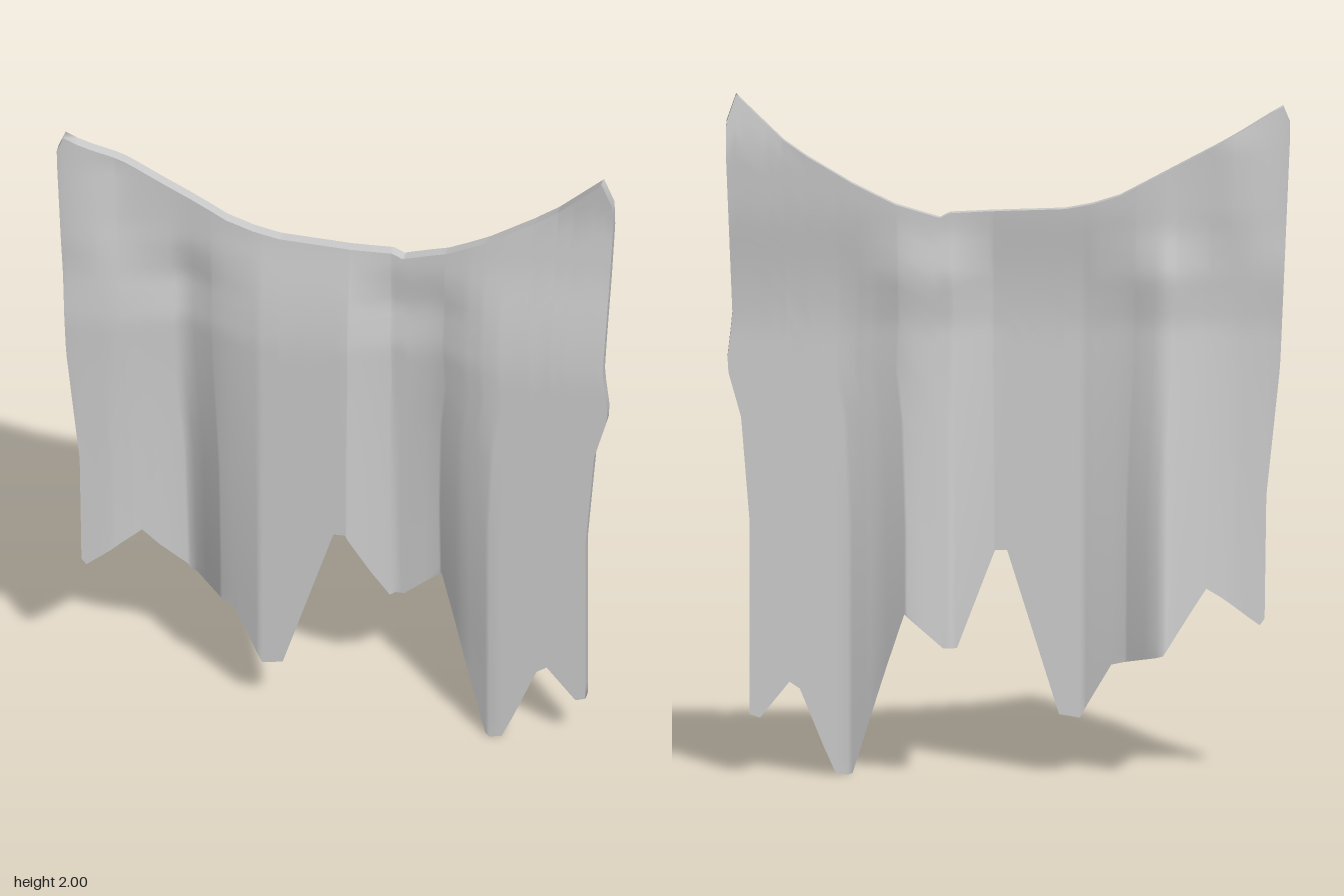
import * as THREE from 'three';

// Piecewise-linear lookup through [key, value] pairs
function lookup(pts, k) {
  if (k <= pts[0][0]) return pts[0][1];
  for (let i = 1; i < pts.length; i++) {
    const [a, va] = pts[i - 1], [b, vb] = pts[i];
    if (k <= b) return va + (vb - va) * (k - a) / (b - a);
  }
  return pts[pts.length - 1][1];
}

const HALF = 0.745, TOP_SCALE = 1.095, THICK = 0.033, ROWS = 40;

// Ragged lower hem and sagging upper edge, as x, y
const hem = [[-0.745, 0.46], [-0.73, 0.44], [-0.62, 0.525], [-0.575, 0.555], [-0.45, 0.37],
  [-0.3, 0.33], [-0.21, 0.17], [-0.15, 0.18], [0, 0.66], [0.035, 0.66], [0.145, 0.39],
  [0.185, 0.39], [0.3, 0.49], [0.45, 0], [0.5, 0.01], [0.6, 0.255], [0.63, 0.275],
  [0.715, 0.17], [0.745, 0.18]];
const upper = [[-0.816, 1.91], [-0.8, 1.96], [-0.6, 1.85], [-0.33, 1.705], [-0.25, 1.68],
  [-0.17, 1.665], [0, 1.66], [0.165, 1.655], [0.195, 1.64], [0.33, 1.68], [0.45, 1.74],
  [0.58, 1.82], [0.65, 1.87], [0.79, 2], [0.816, 1.92]];

// Half width of each side by height
const leftSide = [[0.46, 0.745], [0.82, 0.75], [1.2, 0.79], [1.9, 0.82], [1.96, 0.815]];
const rightSide = [[0.74, 0.745], [1.05, 0.77], [1.2, 0.812], [1.35, 0.795], [1.85, 0.815], [2, 0.81]];

// Depth of fold crests and valleys by height, and how far each x lies in a valley
const crest = [[0, 0.088], [1.32, 0.088], [1.42, 0.08], [1.5, 0.07], [1.65, 0.046], [1.85, 0.03], [2, 0.045]];
const valley = [[0.3, -0.06], [0.4, -0.054], [1.2, 0.012], [1.33, 0.022], [1.47, 0.01], [1.6, 0.032], [2, 0.035]];
const fold = [[-0.76, 0], [-0.66, 0.12], [-0.6, 0.3], [-0.53, 0.6], [-0.46, 1], [-0.43, 0.95],
  [-0.34, 0.36], [-0.22, 0], [0.04, 0], [0.1, 0.4], [0.16, 0.84], [0.29, 0.84], [0.37, 0.35], [0.46, 0]];

function frontDepth(x, y) {
  const c = lookup(crest, y);
  let z = c + (lookup(valley, y) - c) * lookup(fold, x);
  // upper corner on one side curls forward
  const curl = THREE.MathUtils.smoothstep(-x, 0.62, 0.8) * THREE.MathUtils.smoothstep(y, 1.35, 1.6);
  return z + (0.08 - z) * curl;
}

// Columns pass through every corner of both edges
function columnKeys() {
  const keys = [...hem.map(p => p[0]), ...upper.map(p => p[0] / TOP_SCALE), ...fold.map(p => p[0])];
  for (let i = 0; i <= 30; i++) keys.push(-HALF + 2 * HALF * i / 30);
  return keys.filter(k => Math.abs(k) <= HALF + 1e-6).sort((a, b) => a - b)
    .filter((k, i, all) => i === 0 || k - all[i - 1] > 0.004);
}

function clothPoint(xb, v) {
  const y0 = lookup(hem, xb), y1 = lookup(upper, xb * TOP_SCALE);
  const y = y0 + (y1 - y0) * v;
  const x = xb * lookup(xb < 0 ? leftSide : rightSide, y) / HALF;
  return [x, y, frontDepth(x, y)];
}

function makeGeometry(positions, index) {
  const g = new THREE.BufferGeometry();
  g.setAttribute('position', new THREE.Float32BufferAttribute(positions, 3));
  g.setIndex(index);
  g.computeVertexNormals();
  return g;
}

export function createModel() {
  const group = new THREE.Group();
  group.name = 'tatteredCloth';
  const material = new THREE.MeshStandardMaterial({ color: 0xcccccc, side: THREE.DoubleSide });
  const cols = columnKeys(), n = cols.length, stride = ROWS + 1;
  const grid = cols.flatMap(xb => Array.from({ length: stride }, (_, j) => clothPoint(xb, j / ROWS)));
  const add = (name, positions, index) => {
    const mesh = new THREE.Mesh(makeGeometry(positions, index), material);
    mesh.name = name;
    group.add(mesh);
  };

  // Front and back faces
  const frontIndex = [], backIndex = [];
  for (let i = 0; i < n - 1; i++) {
    for (let j = 0; j < ROWS; j++) {
      const a = i * stride + j, b = a + stride;
      frontIndex.push(a, b, b + 1, a, b + 1, a + 1);
      backIndex.push(a, b + 1, b, a, a + 1, b + 1);
    }
  }
  add('clothFront', grid.flat(), frontIndex);
  add('clothBack', grid.flatMap(([x, y, z]) => [x, y, z - THICK]), backIndex);

  // Rim closing the thickness, counter-clockwise from the front
  const loop = [];
  for (let i = 0; i < n - 1; i++) loop.push(i * stride);
  for (let j = 0; j < ROWS; j++) loop.push((n - 1) * stride + j);
  for (let i = n - 1; i > 0; i--) loop.push(i * stride + ROWS);
  for (let j = ROWS; j > 0; j--) loop.push(j);
  const rim = loop.flatMap(k => {
    const [x, y, z] = grid[k];
    return [x, y, z, x, y, z - THICK];
  });
  const rimIndex = [];
  loop.forEach((_, k) => {
    const a = 2 * k, b = 2 * ((k + 1) % loop.length);
    rimIndex.push(a, a + 1, b, b, a + 1, b + 1);
  });
  add('clothRim', rim, rimIndex);
  return group;
}
